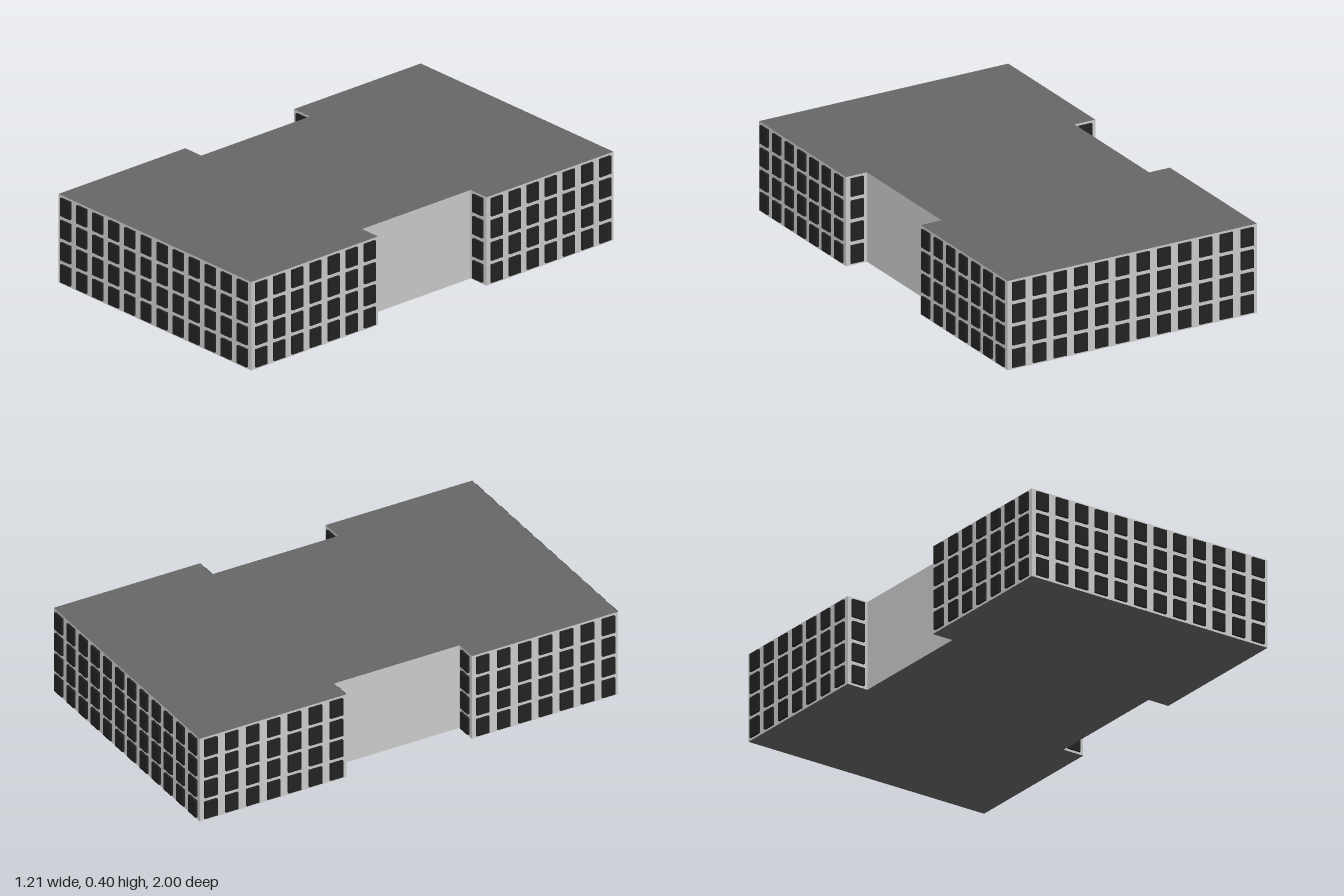
import * as THREE from 'three';
import { mergeGeometries } from 'three/addons/utils/BufferGeometryUtils.js';

const U = 0.099;    // one window bay
const FLOORS = 4;
const HX = 6 * U, HZ = 10 * U;   // half width and depth of the block
const NX = 5 * U, NZ = 3 * U;    // recessed middle section

export function createModel() {
  const group = new THREE.Group();
  const wallMat = new THREE.MeshStandardMaterial({ color: 0xcccccc });
  const roofMat = new THREE.MeshStandardMaterial({ color: 0x666666 });
  const glassMat = new THREE.MeshStandardMaterial({ color: 0x222222 });

  // H-shaped block: dark roof and base, light walls
  const plan = new THREE.Shape([
    [-HX, -HZ], [HX, -HZ], [HX, -NZ], [NX, -NZ], [NX, NZ], [HX, NZ],
    [HX, HZ], [-HX, HZ], [-HX, NZ], [-NX, NZ], [-NX, -NZ], [-HX, -NZ],
  ].map(([x, y]) => new THREE.Vector2(x, y)));
  const block = new THREE.ExtrudeGeometry(plan, { depth: FLOORS * U, bevelEnabled: false });
  block.rotateX(-Math.PI / 2);
  const building = new THREE.Mesh(block, [roofMat, wallMat]);
  building.name = 'building';
  group.add(building);

  // Grid of window boxes standing slightly proud of one wall
  function addWindows(name, x, z, bays, angle) {
    const panes = [];
    for (let floor = 0; floor < FLOORS; floor++) {
      for (let bay = 0; bay < bays; bay++) {
        const pane = new THREE.BoxGeometry(0.6 * U, 0.8 * U, 0.2 * U);
        panes.push(pane.translate((bay - (bays - 1) / 2) * U, (floor + 0.5) * U, 0));
      }
    }
    const mesh = new THREE.Mesh(mergeGeometries(panes), glassMat);
    mesh.name = name;
    mesh.position.set(x, 0, z);
    mesh.rotation.y = angle;
    group.add(mesh);
  }

  for (const [end, sz] of [['front', 1], ['back', -1]]) {
    addWindows(`${end}Windows`, 0, sz * HZ, 12, sz > 0 ? 0 : Math.PI);
    for (const [side, sx] of [['Left', 1], ['Right', -1]]) {
      // Outer side of each wing, then the short return into the recess
      addWindows(`${end}${side}SideWindows`, sx * HX, sz * (HZ + NZ) / 2, 7, sx * Math.PI / 2);
      addWindows(`${end}${side}RecessWindows`, sx * (HX + NX) / 2, sz * NZ, 1, sz > 0 ? Math.PI : 0);
    }
  }
  return group;
}
